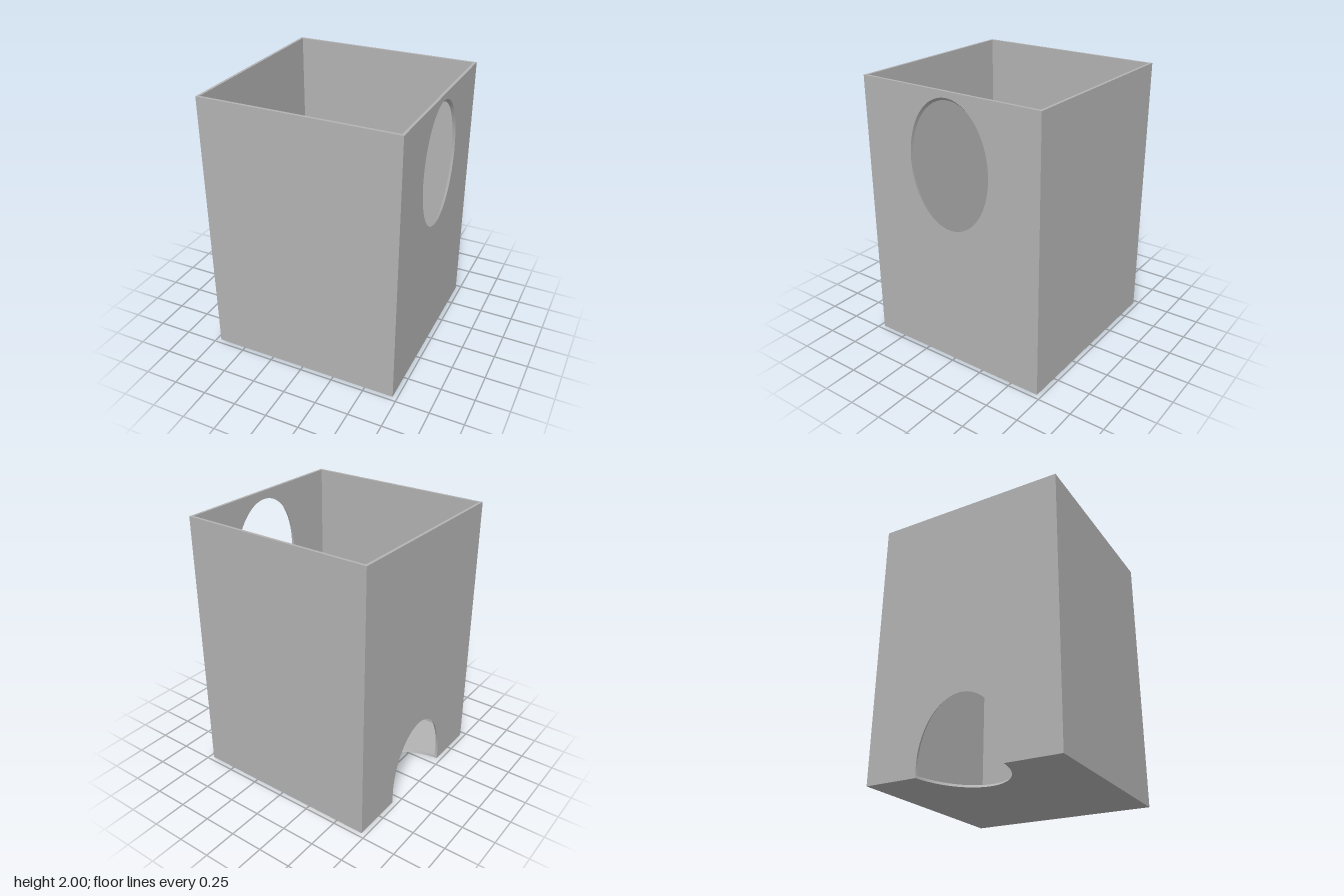
import * as THREE from 'three';

const W = 0.716, T = 0.02, H = 2;      // half width, wall thickness, height
const IN = W - T;                      // half width of the inside
const R = 0.325;                       // radius of the slanted bore
const OFFSET = 0.781;                  // bore axis: y - x = OFFSET, sloping at 45 degrees
const SEGMENTS = 96;

const gray = new THREE.MeshStandardMaterial({ color: 0xb3b3b3 });
gray.name = 'gray';

// Points where the bore crosses a plane, between two angles around its axis
const rise = (angle) => OFFSET + R * Math.SQRT2 * Math.cos(angle);
function boreCurve(from, to, place) {
  return Array.from({ length: SEGMENTS + 1 }, (_, i) => {
    const angle = from + ((to - from) * i) / SEGMENTS;
    return place(R * Math.sin(angle), rise(angle));
  });
}
const onWall = (x) => (z, k) => new THREE.Vector3(x, x + k, z);
const onFloor = (y) => (z, k) => new THREE.Vector3(y - k, y, z);

// Flat faces: the outline is drawn in 2D, then laid in a plane facing the given side
const layouts = {
  x: (a, b, at, side) => [at, b, -side * a],
  y: (a, b, at, side) => [b, at, side * a],
  z: (a, b, at, side) => [side * a, b, at],
};
function panel(name, axis, at, side, outline, hole) {
  const shape = new THREE.Shape(outline);
  if (hole) shape.holes.push(new THREE.Path(hole));
  const geometry = new THREE.ShapeGeometry(shape);
  const pos = geometry.attributes.position;
  for (let i = 0; i < pos.count; i++) {
    pos.setXYZ(i, ...layouts[axis](pos.getX(i), pos.getY(i), at, side));
  }
  geometry.computeVertexNormals();
  return named(new THREE.Mesh(geometry, gray), name);
}

// Thickness of the bore where it cuts through a wall, facing the bore axis
function lip(name, upper, lower) {
  const points = [], index = [];
  upper.forEach((p, i) => {
    points.push(p, lower[i]);
    const a = 2 * i;
    if (i < upper.length - 1) index.push(a, a + 2, a + 1, a + 1, a + 2, a + 3);
  });
  const geometry = new THREE.BufferGeometry().setFromPoints(points);
  geometry.setIndex(index);
  geometry.computeVertexNormals();
  return named(new THREE.Mesh(geometry, gray), name);
}

function named(object, name) {
  object.name = name;
  return object;
}
function part(name, ...meshes) {
  return named(new THREE.Group().add(...meshes), name);
}

const v = (a, b) => new THREE.Vector2(a, b);
const rect = (h, low, high) => [v(-h, low), v(h, low), v(h, high), v(-h, high)];
const zy = (points) => points.map((p) => v(p.z, p.y));
const zx = (points) => points.map((p) => v(p.z, p.x));

export function createModel() {
  const model = named(new THREE.Group(), 'openBox');

  // Plain front and back walls
  for (const [name, s] of [['frontWall', 1], ['backWall', -1]]) {
    model.add(part(name,
      panel(name + 'Outside', 'z', s * W, s, rect(W, 0, H)),
      panel(name + 'Inside', 'z', s * IN, -s, rect(IN, T, H))));
  }

  // Wall with the full oval opening near the top
  const ovalOut = boreCurve(0, Math.PI * 2, onWall(W));
  const ovalIn = boreCurve(0, Math.PI * 2, onWall(IN));
  model.add(part('ovalWall',
    panel('ovalWallOutside', 'x', W, 1, rect(W, 0, H), zy(ovalOut.slice(0, -1))),
    panel('ovalWallInside', 'x', IN, -1, rect(IN, T, H), zy(ovalIn.slice(0, -1))),
    lip('ovalLip', ovalOut, ovalIn)));

  // Opposite wall, where the bore leaves as an arch down to the floor
  const corner = Math.acos((W - OFFSET) / (R * Math.SQRT2));
  const archOut = boreCurve(-corner, corner, onWall(-W));
  const archIn = boreCurve(-corner, corner, onWall(-IN));
  const archOutline = (h, low, arch) =>
    [v(-h, low), ...zy(arch), v(h, low), v(h, H), v(-h, H)];
  model.add(part('archWall',
    panel('archWallOutside', 'x', -W, -1, archOutline(W, 0, archOut)),
    panel('archWallInside', 'x', -IN, 1, archOutline(IN, T, archIn)),
    lip('archLip', archIn, archOut)));

  // Floor with the rest of the bore cut from its edge
  const end = Math.PI * 2 - corner;
  const cutTop = boreCurve(corner, end, onFloor(T));
  const cutBottom = boreCurve(corner, end, onFloor(0));
  const floorOutline = (h, cut) =>
    [v(h, -h), ...zx(cut), v(-h, -h), v(-h, h), v(h, h)];
  model.add(part('floor',
    panel('floorTop', 'y', T, 1, floorOutline(IN, cutTop)),
    panel('floorBottom', 'y', 0, -1, floorOutline(W, cutBottom)),
    lip('floorLip', cutTop, cutBottom)));

  // Top edge of the walls
  model.add(panel('rim', 'y', H, 1, rect(W, -W, W), rect(IN, -IN, IN)));

  return model;
}
